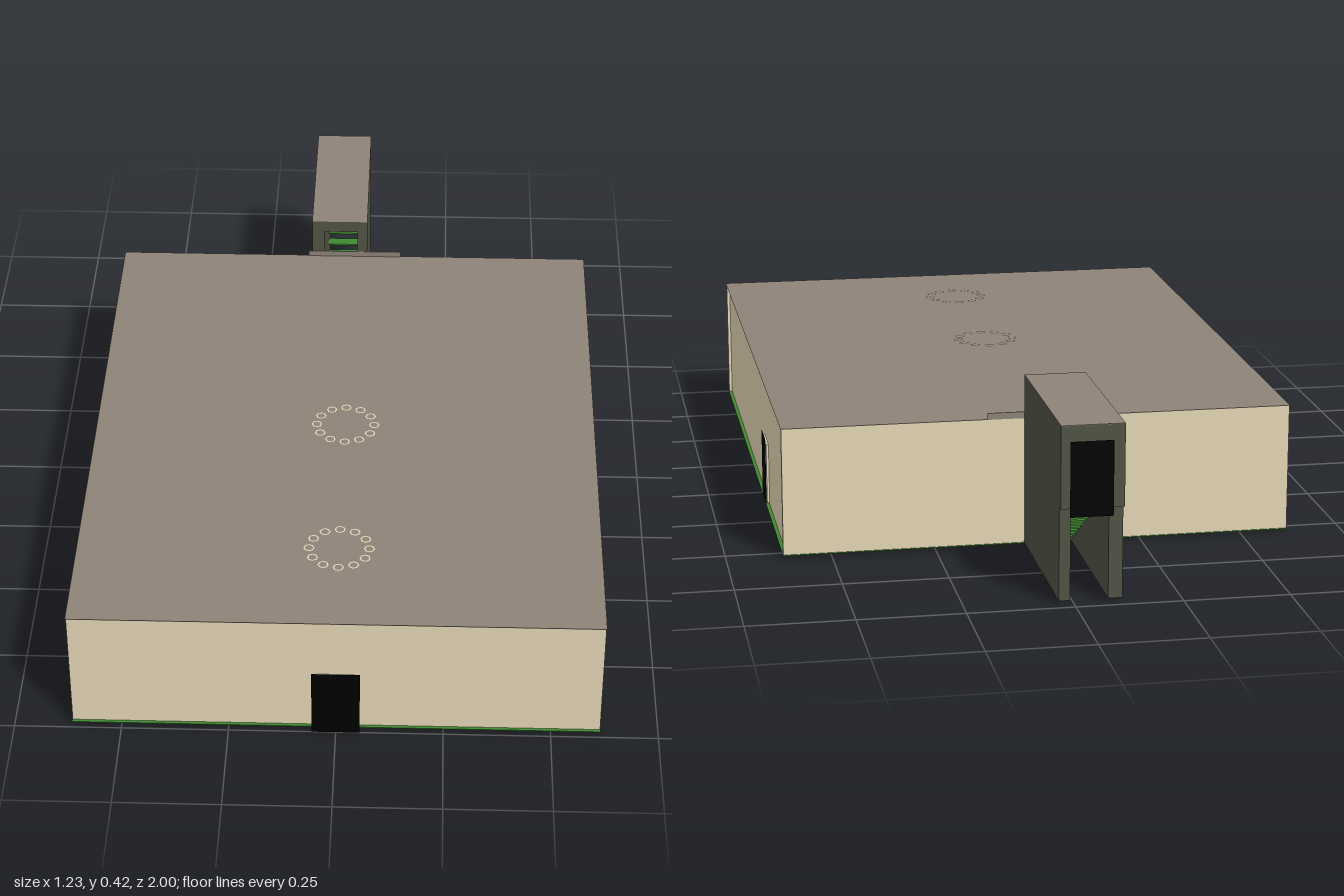
import * as THREE from 'three';

const mat = (name, color, side = THREE.FrontSide) => {
  const m = new THREE.MeshStandardMaterial({ color, side });
  m.name = name;
  return m;
};

export function createModel() {
  const model = new THREE.Group();
  model.name = 'hall';
  const sand = mat('sandstone', 0xe5d7b6, THREE.DoubleSide);
  const taupe = mat('roof taupe', 0x8e8378);
  const olive = mat('olive stone', 0x505343);
  const green = mat('floor green', 0x408930);
  const black = mat('door black', 0x000000, THREE.DoubleSide);

  // Box given by its two extreme corners
  const box = (name, m, x0, x1, y0, y1, z0, z1, parent = model) => {
    const mesh = new THREE.Mesh(new THREE.BoxGeometry(x1 - x0, y1 - y0, z1 - z0), m);
    mesh.position.set((x0 + x1) / 2, (y0 + y1) / 2, (z0 + z1) / 2);
    mesh.name = name;
    parent.add(mesh);
  };

  // Flat door leaf, turned about y to face outward
  const doorLeaf = (name, width, height, x, y, z, turn) => {
    const mesh = new THREE.Mesh(new THREE.PlaneGeometry(width, height), black);
    mesh.position.set(x, y, z);
    mesh.rotation.y = turn;
    mesh.name = name;
    model.add(mesh);
  };

  // Hall shell, floor and roof projecting slightly past the walls
  const W = 0.615, S = 0.607, F = 0.982, B = -0.54, T = 0.014, Y0 = 0.008, Y1 = 0.318;
  box('floor', green, -0.616, 0.616, 0.006, Y0, -0.543, 0.99);
  box('roof', taupe, -0.616, 0.616, Y1, 0.319, -0.543, 0.99);
  box('frontWall', sand, -W, W, Y0, Y1, F - T, F);
  box('sideWallLeft', sand, S - T, S, Y0, Y1, B + T, F - T);
  box('sideWallRight', sand, -S, T - S, Y0, Y1, B + T, F - T);

  // Stairway extents
  const R = -0.112, L = 0.035, inR = -0.079, inL = 0.009, TOP = 0.423;

  // Back wall leaves a gap for the stairway
  box('backWallLeft', sand, inL, W, Y0, Y1, B, B + T);
  box('backWallRight', sand, -W, inR, Y0, Y1, B, B + T);

  // Doors standing on shallow sandstone frames
  box('frontDoorFrame', sand, -0.055, 0.055, 0.01, 0.162, F, 0.995);
  doorLeaf('frontDoor', 0.112, 0.177, 0, 0.0885, 1, 0);
  box('leftDoorFrame', sand, S, 0.613, 0.01, 0.162, -0.127, -0.033);
  doorLeaf('leftDoor', 0.1, 0.177, 0.615, 0.0885, -0.08, Math.PI / 2);
  box('rightDoorFrame', sand, -0.613, -S, 0.01, 0.162, 0.553, 0.647);
  doorLeaf('rightDoor', 0.1, 0.177, -0.615, 0.0885, 0.6, -Math.PI / 2);

  // Clustered columns whose shaft rims show on the roof
  const N = 12, shaftR = 0.0132;
  for (const cz of [0.226, 0.716]) {
    const column = new THREE.Group();
    column.name = 'column';
    column.position.z = cz;
    for (let i = 0; i < N; i++) {
      const a = (i / N) * Math.PI * 2;
      const x = Math.sin(a) * 0.071, z = Math.cos(a) * 0.071;
      const shaft = new THREE.Mesh(
        new THREE.CylinderGeometry(shaftR, shaftR, Y1 - Y0, 8, 1, true), sand);
      shaft.position.set(x, (Y0 + Y1) / 2, z);
      shaft.name = 'columnShaft';
      const rim = new THREE.Mesh(new THREE.RingGeometry(0.0098, shaftR, 8), sand);
      rim.rotation.x = -Math.PI / 2;
      rim.position.set(x, 0.3205, z);
      rim.name = 'columnRim';
      column.add(shaft, rim);
    }
    model.add(column);
  }

  // Stairway housing: thick walls, open at the front, bottom and below the rear door
  const stair = new THREE.Group();
  stair.name = 'stairway';
  model.add(stair);
  const END = -0.976, BACK = -0.993;
  box('stairWallLeft', olive, inL, L, Y0, TOP, END, -0.542, stair);
  box('stairWallRight', olive, R, inR, Y0, TOP, END, -0.542, stair);
  box('stairCeiling', olive, inR, inL, 0.395, TOP, END, -0.542, stair);
  box('stairBackWall', olive, R, L, 0.23, TOP, BACK, END, stair);
  box('stairRoof', taupe, R, L, TOP, 0.4245, BACK, -0.542, stair);
  box('roofCurb', taupe, -0.122, 0.124, Y1, 0.334, -0.543, -0.54, stair);

  // Rear door, its inner face framed in sandstone
  doorLeaf('rearDoor', 0.1, 0.177, -0.035, 0.3, -1, Math.PI);
  box('rearDoorFrame', sand, inR, inL, 0.225, 0.394, END, END + 0.003, stair);
  box('rearDoorInside', black, -0.07, 0.001, 0.225, 0.385, END + 0.003, END + 0.006, stair);

  // Open treads climbing to the landing
  const steps = 12, run = 0.36 / steps, rise = 0.21 / steps;
  for (let i = 0; i < steps; i++) {
    const z = -0.54 - i * run, y = Y0 + (i + 1) * rise;
    box('tread', green, inR, inL, y - 0.004, y, z - run, z, stair);
  }
  box('landing', green, inR, inL, 0.214, 0.221, END, -0.9, stair);

  return model;
}
